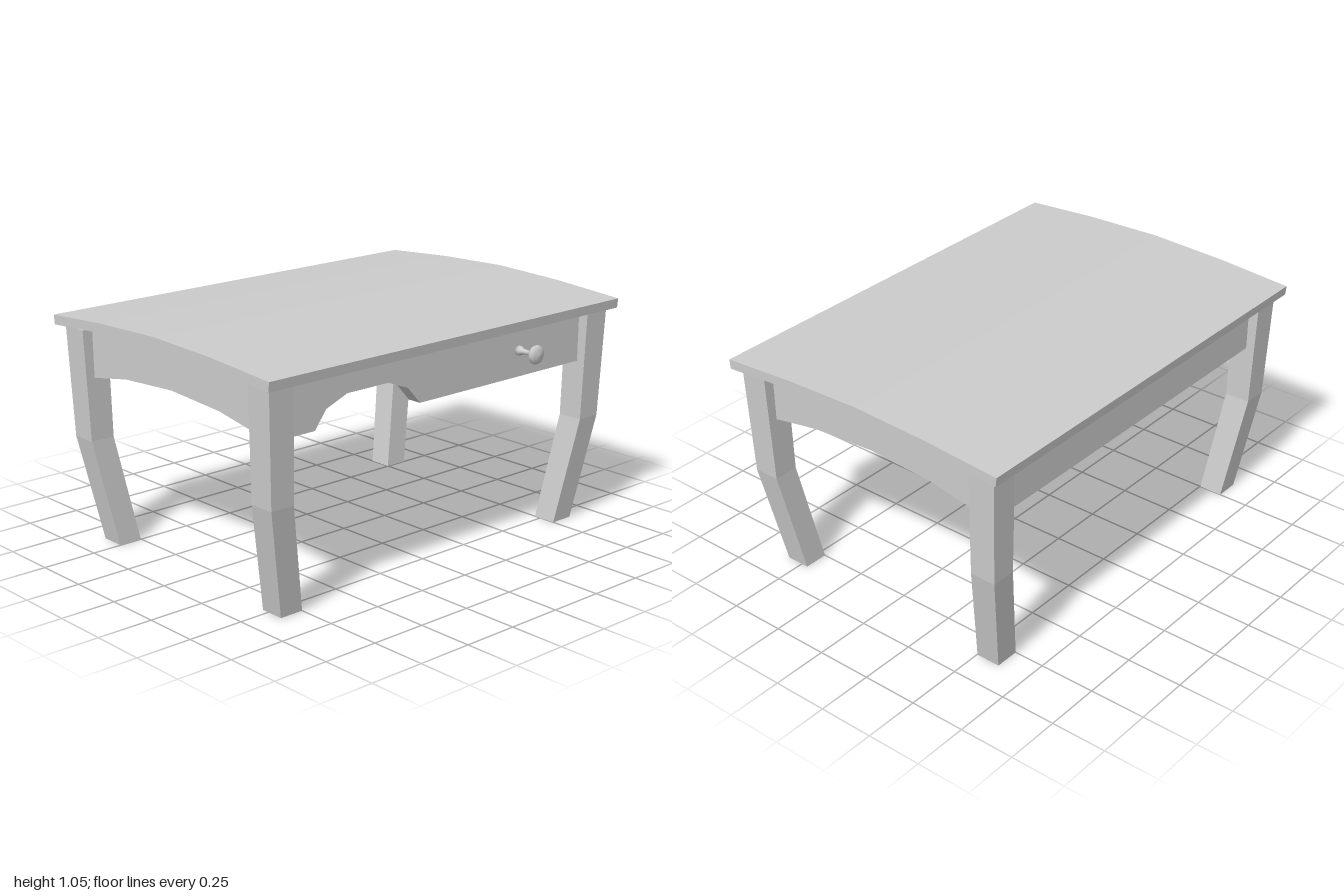
import * as THREE from 'three';

const CX = -0.0175; // middle of the table body; the knob sticks out on +x

export function createModel() {
  const group = new THREE.Group();
  const flat = new THREE.MeshStandardMaterial({ color: 0xcccccc, flatShading: true });
  const smooth = new THREE.MeshStandardMaterial({ color: 0xcccccc, side: THREE.DoubleSide });

  const add = (name, geometry, material = flat) => {
    const mesh = new THREE.Mesh(geometry, material);
    mesh.name = name;
    group.add(mesh);
    return mesh;
  };

  const extrude = (points, depth) => new THREE.ExtrudeGeometry(
    new THREE.Shape(points.map(([x, y]) => new THREE.Vector2(x, y))),
    { depth, bevelEnabled: false });

  // Symmetric arch line from the left end to the right end
  const arch = (half) => [
    ...half.map(([x, y]) => [CX - x, y]),
    ...half.slice(0, -1).reverse().map(([x, y]) => [CX + x, y]),
  ];

  // Cross-section between a lower and an upper arch, swept from z0 to z1
  const archedSlab = (name, lower, upper, z0, z1) => {
    const geometry = extrude([...arch(lower), ...arch(upper).reverse()], z1 - z0);
    add(name, geometry).position.z = z0;
  };

  // Bowed table top
  archedSlab('tableTop',
    [[0.703, 0.973], [0.36, 0.999], [0, 1.01]],
    [[0.7075, 1.015], [0.36, 1.039], [0, 1.051]], -1, 1);

  // Arched front rail and the closed drawer housing behind it
  const railLower = [[0.62, 0.743], [0.31, 0.797], [0, 0.816]];
  const railUpper = [[0.62, 0.972], [0.36, 0.997], [0, 1.008]];
  archedSlab('frontRail', railLower, railUpper, 0.7, 0.92);
  archedSlab('drawerHousing', railLower, railUpper, -0.92, 0);

  // Plain side rail
  const sideRail = add('sideRail', new THREE.BoxGeometry(0.065, 0.232, 0.7));
  sideRail.position.set(CX - 0.5875, 0.859, 0.35);

  // Side rail with a scalloped opening; profile x is -z, extruded along x
  const opening = [[0.7, 0.743], [0.64, 0.82], [0.53, 0.862], [0.31, 0.862], [0.2, 0.82], [0.13, 0.743]];
  const cutRail = add('scallopedSideRail', extrude(
    [...opening, [0, 0.743], [0, 0.975], [0.7, 0.975]].map(([z, y]) => [-z, y]), 0.065));
  cutRail.rotation.y = Math.PI / 2;
  cutRail.position.x = CX + 0.555;

  // Bent legs: [height, inner x, outer x, inner z, outer z]
  const levels = [
    [0, 0.485, 0.595, 0.75, 0.86],
    [0.48, 0.535, 0.653, 0.838, 0.951],
    [0.97, 0.544, 0.668, 0.844, 0.968],
  ];
  for (const sx of [-1, 1]) for (const sz of [-1, 1]) {
    const geometry = new THREE.BoxGeometry(2, 2, 2, 1, 2, 1);
    const p = geometry.attributes.position;
    for (let i = 0; i < p.count; i++) {
      const [y, x0, x1, z0, z1] = levels[Math.round(p.getY(i)) + 1];
      const x = p.getX(i) * sx > 0 ? x1 : x0;
      const z = p.getZ(i) * sz > 0 ? z1 : z0;
      p.setXYZ(i, CX + sx * x, y, sz * z);
    }
    geometry.computeVertexNormals();
    add((sz > 0 ? 'front' : 'back') + (sx > 0 ? 'Left' : 'Right') + 'Leg', geometry);
  }

  // Drawer knob turned about the x axis
  const knobProfile = [[0, 0], [0.022, 0], [0.02, 0.015], [0.012, 0.03], [0.01, 0.055], [0.013, 0.07],
    [0.026, 0.083], [0.038, 0.092], [0.042, 0.102], [0.038, 0.112], [0.024, 0.119], [0, 0.123]];
  const knob = add('drawerKnob', new THREE.LatheGeometry(
    knobProfile.map(([r, h]) => new THREE.Vector2(r, h)), 20), smooth);
  knob.rotation.z = -Math.PI / 2;
  knob.position.set(0.602, 0.86, -0.455);

  return group;
}
